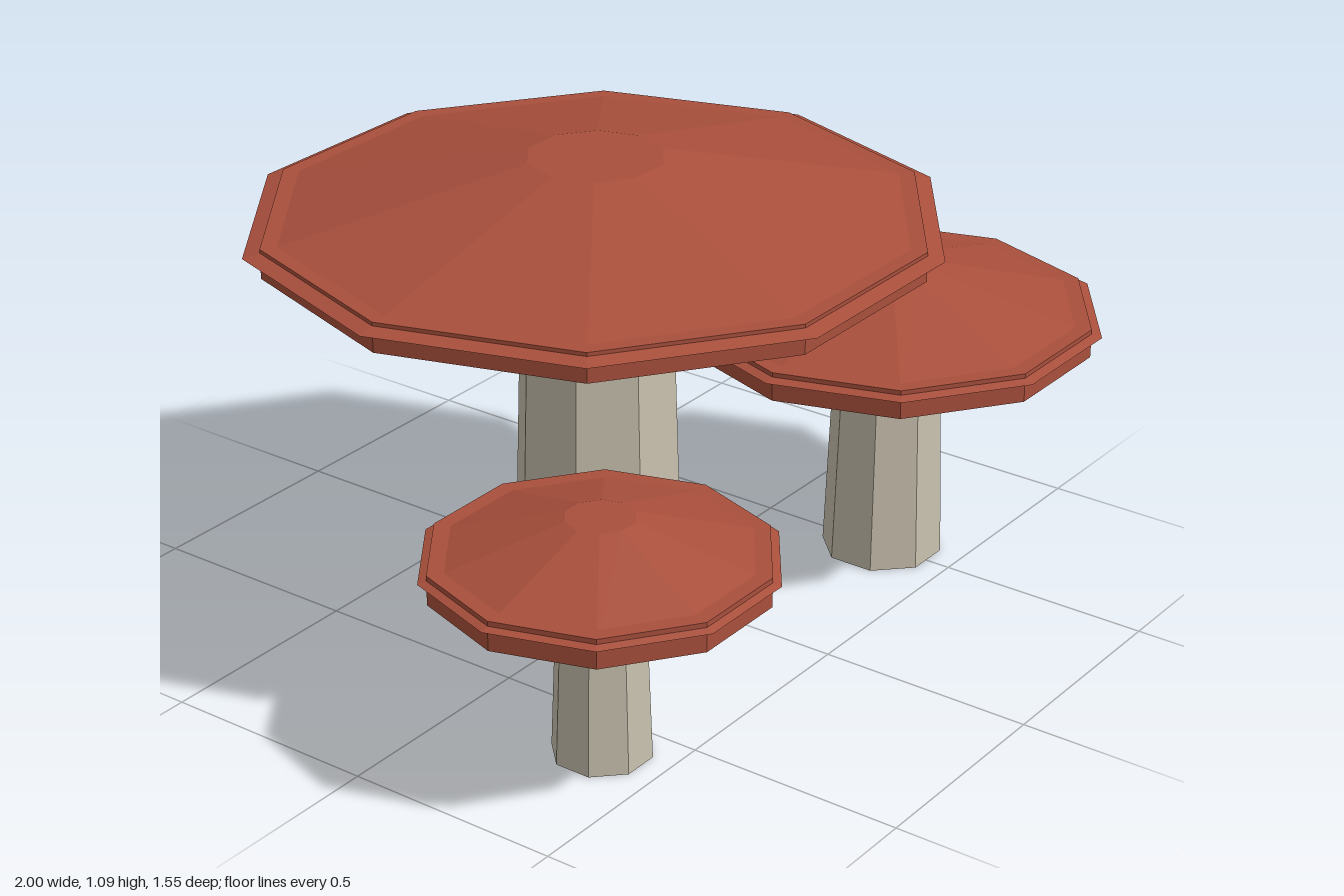
import * as THREE from 'three';

const capMaterial = new THREE.MeshStandardMaterial({ color: 0xa94f3c, flatShading: true });
const stemMaterial = new THREE.MeshStandardMaterial({ color: 0xc8c0ae, flatShading: true });

// Tapered prism standing on y = base
function prism(name, rTop, rBottom, base, height, sides, turn, material) {
  const geometry = new THREE.CylinderGeometry(rTop, rBottom, height, sides, 1, false, turn);
  const mesh = new THREE.Mesh(geometry, material);
  mesh.name = name;
  mesh.position.y = base + height / 2;
  return mesh;
}

// Octagonal stem, ten-sided rim slab and a slightly wider sloping cap
function mushroom({ name, x, z, stemR, stemH, rimR, capR, capTopR, capH }) {
  const group = new THREE.Group();
  group.name = name;
  group.position.set(x, 0, z);
  group.add(
    prism('stem', stemR * 0.86, stemR, 0, stemH, 8, Math.PI / 8, stemMaterial),
    prism('capRim', rimR, rimR, stemH, 0.067, 10, Math.PI / 2, capMaterial),
    prism('capTop', capTopR, capR, stemH + 0.05, capH, 10, Math.PI / 2, capMaterial)
  );
  return group;
}

export function createModel() {
  const model = new THREE.Group();
  model.name = 'mushroomCluster';
  const mushrooms = [
    { name: 'largeMushroom', x: -0.123, z: -0.042, stemR: 0.196, stemH: 0.9, rimR: 0.732, capR: 0.77, capTopR: 0.152, capH: 0.14 },
    { name: 'mediumMushroom', x: 0.508, z: 0.31, stemR: 0.14, stemH: 0.55, rimR: 0.466, capR: 0.49, capTopR: 0.098, capH: 0.108 },
    { name: 'smallMushroom', x: -0.617, z: 0.344, stemR: 0.11, stemH: 0.408, rimR: 0.366, capR: 0.385, capTopR: 0.076, capH: 0.094 },
  ];
  for (const spec of mushrooms) model.add(mushroom(spec));
  return model;
}
